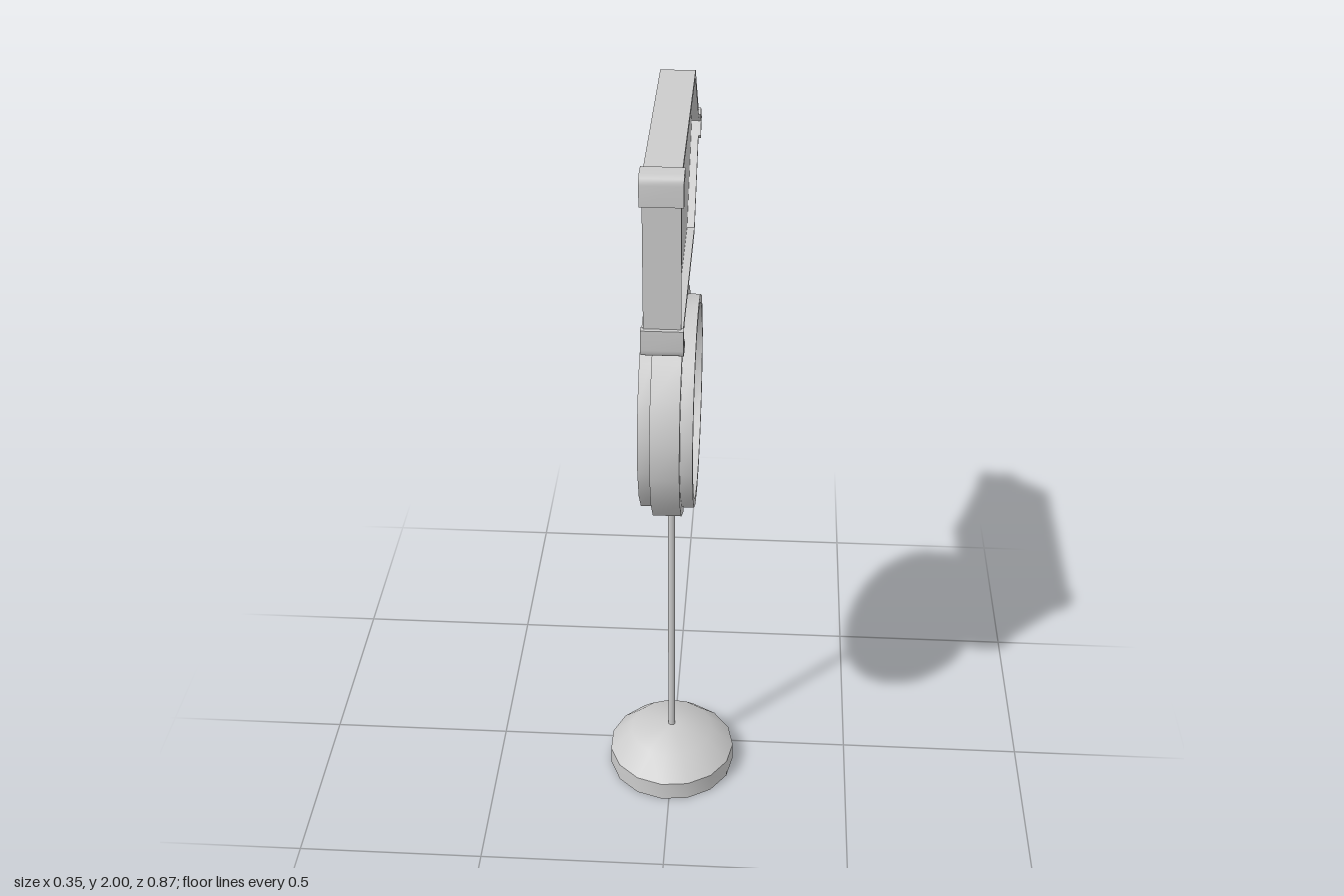
import * as THREE from 'three';
import { toCreasedNormals } from 'three/addons/utils/BufferGeometryUtils.js';

const material = new THREE.MeshStandardMaterial({ color: 0xcccccc });
const SIGN_Y = 1.778, DISC_Y = 1.225, POLE_X = -0.002, POLE_Z = 0.075;

function part(name, geometry, x, y, z) {
  const mesh = new THREE.Mesh(geometry, material);
  mesh.name = name;
  mesh.position.set(x, y, z);
  return mesh;
}

// Profile [radius, height] turned about y, with a corner on the x axis
function turned(profile, sides, crease) {
  const points = profile.map(([r, h]) => new THREE.Vector2(r, h));
  return toCreasedNormals(new THREE.LatheGeometry(points, sides, Math.PI / 2), crease);
}

// Side outline (horizontal = -z, vertical = y) given thickness along x
function slab(shape, halfWidth) {
  const geometry = new THREE.ExtrudeGeometry(shape, { depth: halfWidth * 2, bevelEnabled: false, curveSegments: 4 });
  geometry.translate(0, 0, -halfWidth).rotateY(Math.PI / 2);
  return toCreasedNormals(geometry, 0.6);
}

const outline = (points) => points.map(([u, v]) => new THREE.Vector2(u, v));

// Arrow outline, inset by d
const arrow = (d) => outline([
  [-0.422 + d, -0.216 + d], [0.2 - 0.4 * d, -0.216 + d], [0.425 - 1.4 * d, 0],
  [0.2 - 0.4 * d, 0.216 - d], [-0.422 + d, 0.216 - d],
]);

// L-shaped clamp with a rounded outer corner; s = 1 upper, -1 lower
function cornerShape(s) {
  const shape = new THREE.Shape();
  shape.moveTo(-0.377, 0.222 * s);
  shape.lineTo(-0.413, 0.222 * s);
  shape.quadraticCurveTo(-0.433, 0.222 * s, -0.433, 0.202 * s);
  shape.lineTo(-0.433, 0.152 * s);
  shape.lineTo(-0.414, 0.152 * s);
  shape.lineTo(-0.414, 0.203 * s);
  shape.lineTo(-0.377, 0.203 * s);
  shape.closePath();
  return shape;
}

export function createModel() {
  const group = new THREE.Group();

  // Domed foot and pole
  const foot = [[0, 0], [0.177, 0], [0.177, 0.055], [0.117, 0.113], [0, 0.132]];
  group.add(part('base', turned(foot, 15, 0.75), POLE_X, 0, POLE_Z));
  group.add(part('pole', new THREE.CylinderGeometry(0.01, 0.01, 1.48, 10), POLE_X, 0.84, POLE_Z));

  // Round sign: wide band, raised rim on both sides, recessed faces
  const half = [[0, 0.045], [0.25, 0.045], [0.25, 0.067], [0.272, 0.067], [0.272, 0.036], [0.295, 0.036]];
  const profile = [...half.map(([r, h]) => [r, -h]), ...half.slice().reverse()];
  group.add(part('roundSign', turned(profile, 18, 0.5).rotateZ(-Math.PI / 2), POLE_X, DISC_Y, POLE_Z));

  // Arrow sign: frame around a recessed panel
  const arrowSign = new THREE.Group();
  arrowSign.name = 'arrowSign';
  arrowSign.position.set(POLE_X, SIGN_Y, 0);
  const frame = new THREE.Shape(arrow(0));
  frame.holes.push(new THREE.Path(arrow(0.014).reverse()));
  arrowSign.add(part('arrowFrame', slab(frame, 0.043), 0, 0, 0));
  arrowSign.add(part('arrowPanel', slab(new THREE.Shape(arrow(0.012)), 0.024), 0, 0, 0));

  // Clamps on the rear corners and the tip
  arrowSign.add(part('upperCornerClamp', slab(cornerShape(1), 0.049), 0, 0, 0));
  arrowSign.add(part('lowerCornerClamp', slab(cornerShape(-1), 0.049), 0, 0, 0));
  const tip = new THREE.Shape(outline([
    [0.433, 0], [0.39, 0.042], [0.377, 0.029], [0.404, 0], [0.377, -0.029], [0.39, -0.042],
  ]));
  arrowSign.add(part('tipClamp', slab(tip, 0.049), 0, 0, 0));

  group.add(arrowSign);
  return group;
}
